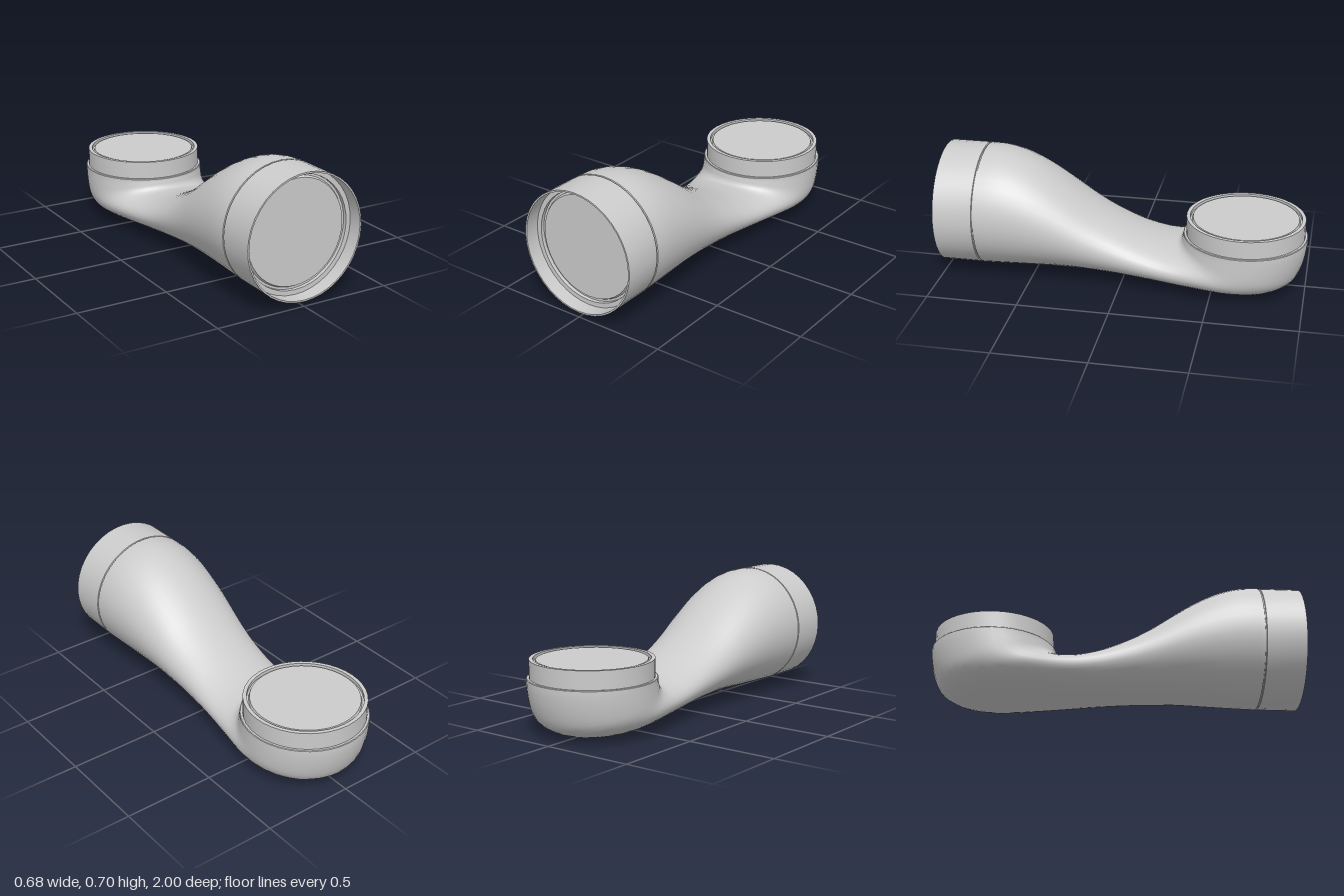
import * as THREE from 'three';
import { toCreasedNormals } from 'three/addons/utils/BufferGeometryUtils.js';

const SEGMENTS = 40;

// Sections of the arm, front to back: [top z, top y, bottom z, bottom y, half width]
const SECTIONS = [
  [0.775, 0.7, 0.775, 0.027, 0.3365],
  [0.69, 0.697, 0.69, 0.029, 0.333],
  [0.6, 0.678, 0.6, 0.032, 0.326],
  [0.5, 0.637, 0.5, 0.036, 0.316],
  [0.4, 0.58, 0.4, 0.041, 0.304],
  [0.3, 0.512, 0.3, 0.044, 0.291],
  [0.2, 0.44, 0.2, 0.044, 0.279],
  [0.1, 0.378, 0.1, 0.041, 0.269],
  [0, 0.326, -0.01, 0.036, 0.264],
  [-0.1, 0.282, -0.12, 0.03, 0.265],
  [-0.2, 0.251, -0.26, 0.021, 0.274],
  [-0.265, 0.24, -0.42, 0.011, 0.291],
  [-0.295, 0.238, -0.6, 0.003, 0.312],
  [-0.307, 0.243, -0.74, 0.004, 0.325],
  [-0.314, 0.251, -0.86, 0.024, 0.332],
  [-0.319, 0.262, -0.945, 0.075, 0.336],
  [-0.322, 0.275, -0.982, 0.16, 0.3375],
  [-0.325, 0.287, -0.998, 0.245, 0.3375],
  [-0.325, 0.295, -1, 0.295, 0.3375],
];

// Smooth skin through elliptical sections that tilt round the elbow
function armGeometry() {
  const rail = (zi, yi) => new THREE.CatmullRomCurve3(
    SECTIONS.map((s) => new THREE.Vector3(s[4], s[yi], s[zi])), false, 'catmullrom', 0.5);
  const top = rail(0, 1);
  const bottom = rail(2, 3);
  const rows = (SECTIONS.length - 1) * 3;
  const positions = [];
  const indices = [];
  for (let j = 0; j <= rows; j++) {
    const t = top.getPoint(j / rows);
    const b = bottom.getPoint(j / rows);
    for (let i = 0; i < SEGMENTS; i++) {
      const a = (i / SEGMENTS) * Math.PI * 2;
      const k = (1 + Math.cos(a)) / 2;
      positions.push(t.x * Math.sin(a), b.y + (t.y - b.y) * k, b.z + (t.z - b.z) * k);
      if (j < rows) {
        const n = (i + 1) % SEGMENTS;
        const p = j * SEGMENTS;
        const q = p + SEGMENTS;
        indices.push(p + i, p + n, q + n, p + i, q + n, q + i);
      }
    }
  }
  const geometry = new THREE.BufferGeometry();
  geometry.setAttribute('position', new THREE.Float32BufferAttribute(positions, 3));
  geometry.setIndex(indices);
  geometry.computeVertexNormals();
  return geometry;
}

// Turned part with crisp edges, from [radius, height] pairs
function turned(profile) {
  const points = profile.map(([r, h]) => new THREE.Vector2(r, h));
  return toCreasedNormals(new THREE.LatheGeometry(points, SEGMENTS), 0.5);
}

export function createModel() {
  const group = new THREE.Group();
  const material = new THREE.MeshStandardMaterial({ color: 0xcccccc, side: THREE.DoubleSide });
  const add = (name, geometry) => {
    const mesh = new THREE.Mesh(geometry, material);
    mesh.name = name;
    group.add(mesh);
    return mesh;
  };

  add('armBody', armGeometry());

  // Front collar: seam groove, thin open sleeve, inner flange and recessed cap
  const front = add('frontCollar', turned([
    [0.3365, 0.775], [0.33, 0.777], [0.33, 0.782], [0.3365, 0.784],
    [0.3365, 1], [0.328, 1], [0.328, 0.92], [0.302, 0.92],
    [0.302, 0.9], [0.29, 0.9], [0.282, 0.915], [0, 0.915],
  ]));
  front.rotation.x = Math.PI / 2;
  front.position.y = 0.3635;

  // Upper collar: shoulder on the elbow, short ring, groove and flush cap
  const upper = add('upperCollar', turned([
    [0.3375, 0.295], [0.334, 0.298], [0.3225, 0.298], [0.3225, 0.395],
    [0.302, 0.395], [0.302, 0.375], [0.292, 0.375], [0.287, 0.39], [0, 0.39],
  ]));
  upper.position.z = -0.6625;

  return group;
}
